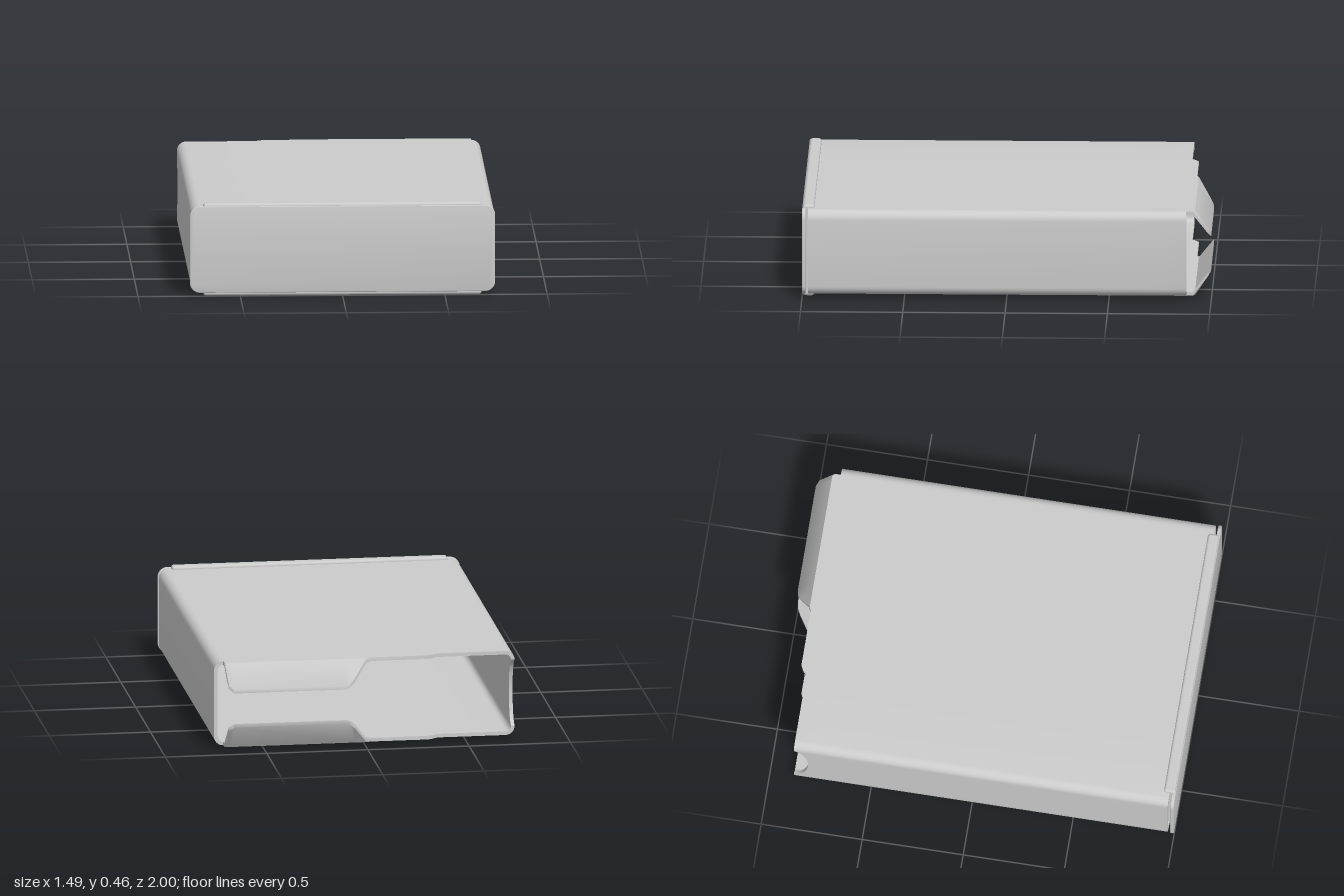
import * as THREE from 'three';
import { toCreasedNormals } from 'three/addons/utils/BufferGeometryUtils.js';
import { RoundedBoxGeometry } from 'three/addons/geometries/RoundedBoxGeometry.js';

const material = new THREE.MeshStandardMaterial({ color: 0xcccccc, side: THREE.DoubleSide });
const HALF_W = 0.742, MID_Y = 0.23, HALF_H = 0.212, R = 0.045, WALL = 0.018;
const FRONT = 0.97, BACK = -0.88, BEND = -0.92;

function add(group, name, geometry, z = 0, y = 0) {
  const mesh = new THREE.Mesh(geometry, material);
  mesh.name = name;
  mesh.position.set(0, y, z);
  group.add(mesh);
}

// Back edge of the flaps as a stepped outline over x
const OUTLINE = [[-0.36, BACK], [-0.335, -0.9], [-0.31, -0.912], [-0.03, -0.912], [0.0, -0.925], [0.06, -0.977],
  [0.085, -0.993], [0.11, -0.998], [0.66, -0.998], [0.685, -0.985], [0.696, -0.91]];
function backEdge(x, y) {
  // Finger notch in one side wall
  if (x < -HALF_W + 0.001) {
    const t = Math.abs(y - MID_Y) / 0.16;
    return t < 1 ? BACK + 0.07 * Math.sqrt(1 - t * t) : BACK;
  }
  const p = OUTLINE.find(q => Math.abs(q[0] - x) < 1e-6);
  return p && Math.abs(y - MID_Y) > HALF_H - 0.001 ? p[1] : BACK;
}

// Rounded rectangle, counter-clockwise, each point with its outward normal
function perimeter() {
  const pts = [], cx = HALF_W - R, cy = HALF_H - R;
  const corner = (sx, sy, start) => {
    for (let i = 0; i <= 6; i++) {
      const a = start + (i / 6) * Math.PI / 2, nx = Math.cos(a), ny = Math.sin(a);
      pts.push({ x: sx * cx + R * nx, y: MID_Y + sy * cy + R * ny, nx, ny });
    }
  };
  const xs = OUTLINE.map(p => p[0]);
  corner(1, 1, 0);
  for (const x of [...xs].reverse()) pts.push({ x, y: MID_Y + HALF_H, nx: 0, ny: 1 });
  corner(-1, 1, Math.PI / 2);
  for (let i = 1; i < 20; i++) pts.push({ x: -HALF_W, y: MID_Y + cy * (1 - i / 10), nx: -1, ny: 0 });
  corner(-1, -1, Math.PI);
  for (const x of xs) pts.push({ x, y: MID_Y - HALF_H, nx: 0, ny: -1 });
  corner(1, -1, Math.PI * 1.5);
  return pts;
}

// Hollow sleeve whose back rows run on into the two bent flaps
function sleeveGeometry() {
  const pts = perimeter(), n = pts.length;
  const rows = [FRONT, -0.78, BACK, -0.91, -0.92, -0.93, -1];
  const loop = [...rows.map(z => [z, 0]), ...[...rows].reverse().map(z => [z, WALL])];
  const pos = [], index = [];
  for (const [rowZ, inset] of loop) {
    for (const p of pts) {
      const z = Math.max(rowZ, backEdge(p.x, p.y));
      const over = Math.max(0, BEND - z);
      const drop = over * 1.5 * Math.sign(p.ny);
      pos.push(p.x - p.nx * inset, p.y - p.ny * inset - (over > 0 ? drop : 0), z);
    }
  }
  for (let i = 0; i < loop.length; i++) {
    const a = i * n, b = ((i + 1) % loop.length) * n;
    for (let j = 0; j < n; j++) {
      const k = (j + 1) % n;
      index.push(a + j, b + j, b + k, a + j, b + k, a + k);
    }
  }
  const g = new THREE.BufferGeometry();
  g.setAttribute('position', new THREE.Float32BufferAttribute(pos, 3));
  g.setIndex(index);
  return toCreasedNormals(g, 0.7);
}

// Thin end plate with rounded corners
function plateGeometry() {
  const s = new THREE.Shape(), w = HALF_W, h = HALF_H - 0.002, r = 0.045;
  s.absarc(w - r, h - r, r, 0, Math.PI / 2);
  s.absarc(-w + r, h - r, r, Math.PI / 2, Math.PI);
  s.absarc(-w + r, -h + r, r, Math.PI, Math.PI * 1.5);
  s.absarc(w - r, -h + r, r, Math.PI * 1.5, Math.PI * 2);
  s.closePath();
  const g = new THREE.ExtrudeGeometry(s, {
    depth: 0.01, bevelThickness: 0.004, bevelSize: 0.004, bevelSegments: 3, curveSegments: 8
  });
  return toCreasedNormals(g, 0.7);
}

export function createModel() {
  const group = new THREE.Group();
  group.name = 'sleeveBox';
  add(group, 'sleeveWithFlaps', sleeveGeometry());
  add(group, 'frontPlate', plateGeometry(), 0.986, MID_Y);
  // Raised hem that folds from the front plate over the top and bottom
  add(group, 'foldedHem', new RoundedBoxGeometry(1.36, 0.457, 0.056, 3, 0.013), 0.969, 0.2285);
  return group;
}
